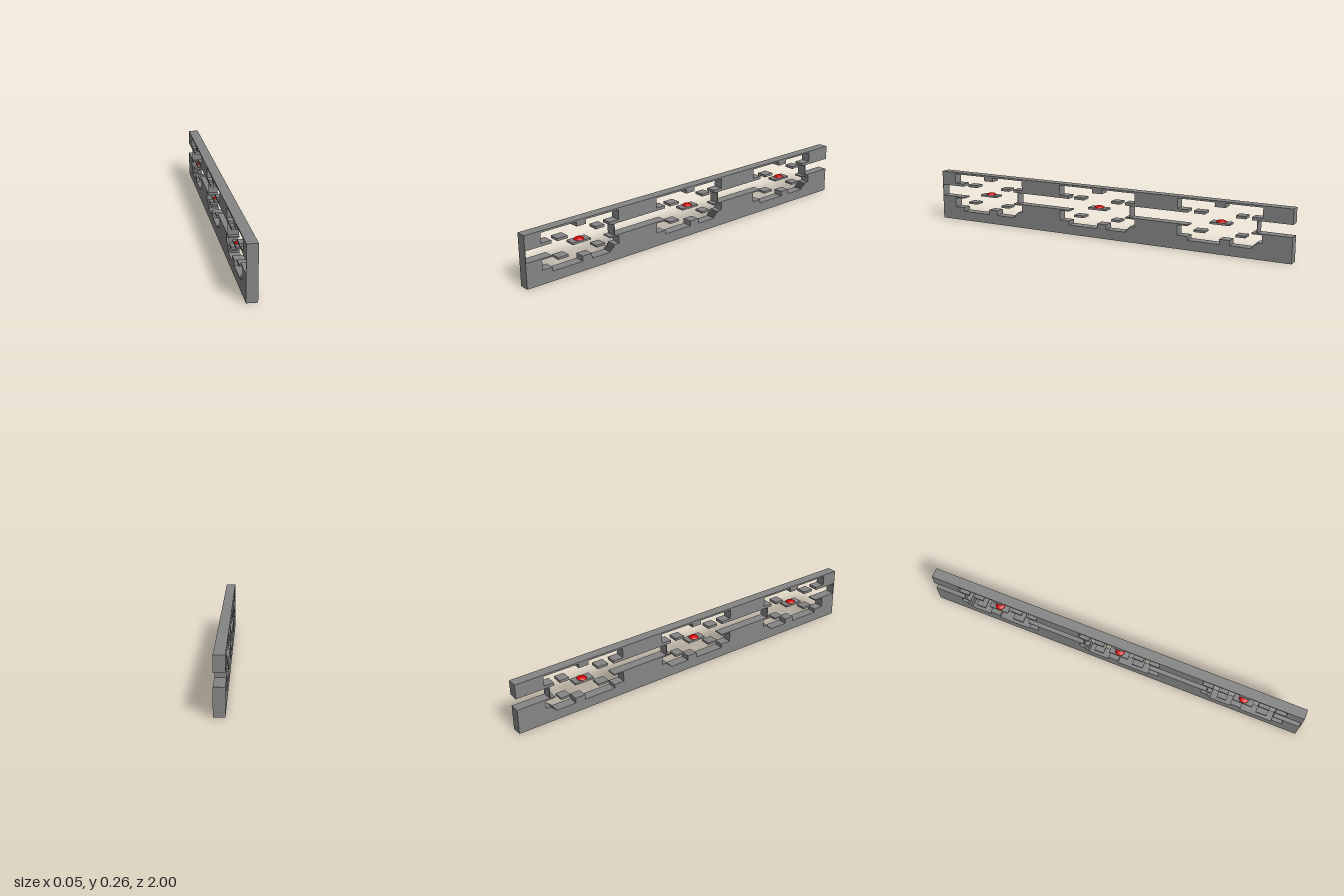
import * as THREE from 'three';

const W = 0.052;                       // beam thickness along x
const H = 0.263;                       // beam height
const BAYS = [-0.694, -0.027, 0.64];   // bay centres, measured along u = -z

export function createModel() {
  const gray = new THREE.MeshStandardMaterial({ color: 0x858585 });
  gray.name = 'gray';
  const red = new THREE.MeshStandardMaterial({ color: 0xd00808 });
  red.name = 'red';
  const model = new THREE.Group();
  model.name = 'slottedBeam';

  // Extrudes a side profile of [u, y] points across the beam's thickness
  const addProfile = (name, points) => {
    const shape = new THREE.Shape(points.map(([u, y]) => new THREE.Vector2(u, y)));
    const geo = new THREE.ExtrudeGeometry(shape, { depth: W, bevelEnabled: false });
    geo.translate(0, 0, -W / 2);
    geo.rotateY(Math.PI / 2);
    const mesh = new THREE.Mesh(geo, gray);
    mesh.name = name;
    model.add(mesh);
  };

  // Full-thickness box between u0..u1 and y0..y1
  const addBox = (parent, name, u0, u1, y0, y1) => {
    const mesh = new THREE.Mesh(new THREE.BoxGeometry(W, y1 - y0, u1 - u0), gray);
    mesh.position.set(0, (y0 + y1) / 2, -(u0 + u1) / 2);
    mesh.name = name;
    parent.add(mesh);
  };

  // Upper rail: recesses with side undercuts and a hanging tab
  const upperBay = [
    [-0.166, 0.188], [-0.166, 0.203], [-0.22, 0.203], [-0.22, 0.254],
    [-0.027, 0.254], [-0.027, 0.232], [0.027, 0.232], [0.027, 0.254],
    [0.214, 0.254], [0.214, 0.203], [0.161, 0.203], [0.161, 0.188],
  ];
  // Lower rail: floor recess, raised block and a small stair
  const lowerBay = [
    [-0.166, 0.128], [-0.166, 0.121], [-0.22, 0.121], [-0.22, 0.07],
    [-0.166, 0.07], [-0.166, 0.05], [0, 0.05], [0, 0.076], [0.054, 0.076], [0.054, 0.05],
  ];
  const steps = 4;
  for (let i = 0; i < steps; i++) {
    const u = 0.161 + i * 0.0085, y = 0.05 + i * 0.008;
    lowerBay.push([u, y], [u, y + 0.008]);
  }
  lowerBay.push([0.214, 0.082], [0.214, 0.121], [0.161, 0.121], [0.161, 0.128]);

  const repeat = (bay) => BAYS.flatMap((c) => bay.map(([u, y]) => [u + c, y]));
  addProfile('upperRail', [[-1, H], [-1, 0.188], ...repeat(upperBay), [1, 0.188], [1, H]]);
  addProfile('lowerRail', [[-1, 0], [-1, 0.128], ...repeat(lowerBay), [1, 0.128], [1, 0]]);

  // Thin wall closing the slot at the front end
  addBox(model, 'endWall', -1, -0.997, 0.128, 0.188);

  BAYS.forEach((c) => {
    const bay = new THREE.Group();
    bay.name = 'bay';

    // Floating platforms, two above and two below the central one
    for (const [u0, u1] of [[-0.134, -0.077], [0.081, 0.131]]) {
      addBox(bay, 'upperPlatform', c + u0, c + u1, 0.189, 0.202);
      addBox(bay, 'lowerPlatform', c + u0, c + u1, 0.096, 0.107);
    }
    addBox(bay, 'centralPlatform', c - 0.052, c + 0.05, 0.146, 0.156);

    // Thin wall across the slot
    addBox(bay, 'slotWall', c + 0.186, c + 0.19, 0.126, 0.19);

    // Red dome button
    const dome = new THREE.Mesh(
      new THREE.SphereGeometry(0.025, 20, 8, 0, Math.PI * 2, 0, Math.PI / 2), red);
    dome.scale.y = 0.5;
    dome.position.set(0, 0.155, -c);
    dome.name = 'domeButton';
    bay.add(dome);
    model.add(bay);
  });
  return model;
}
